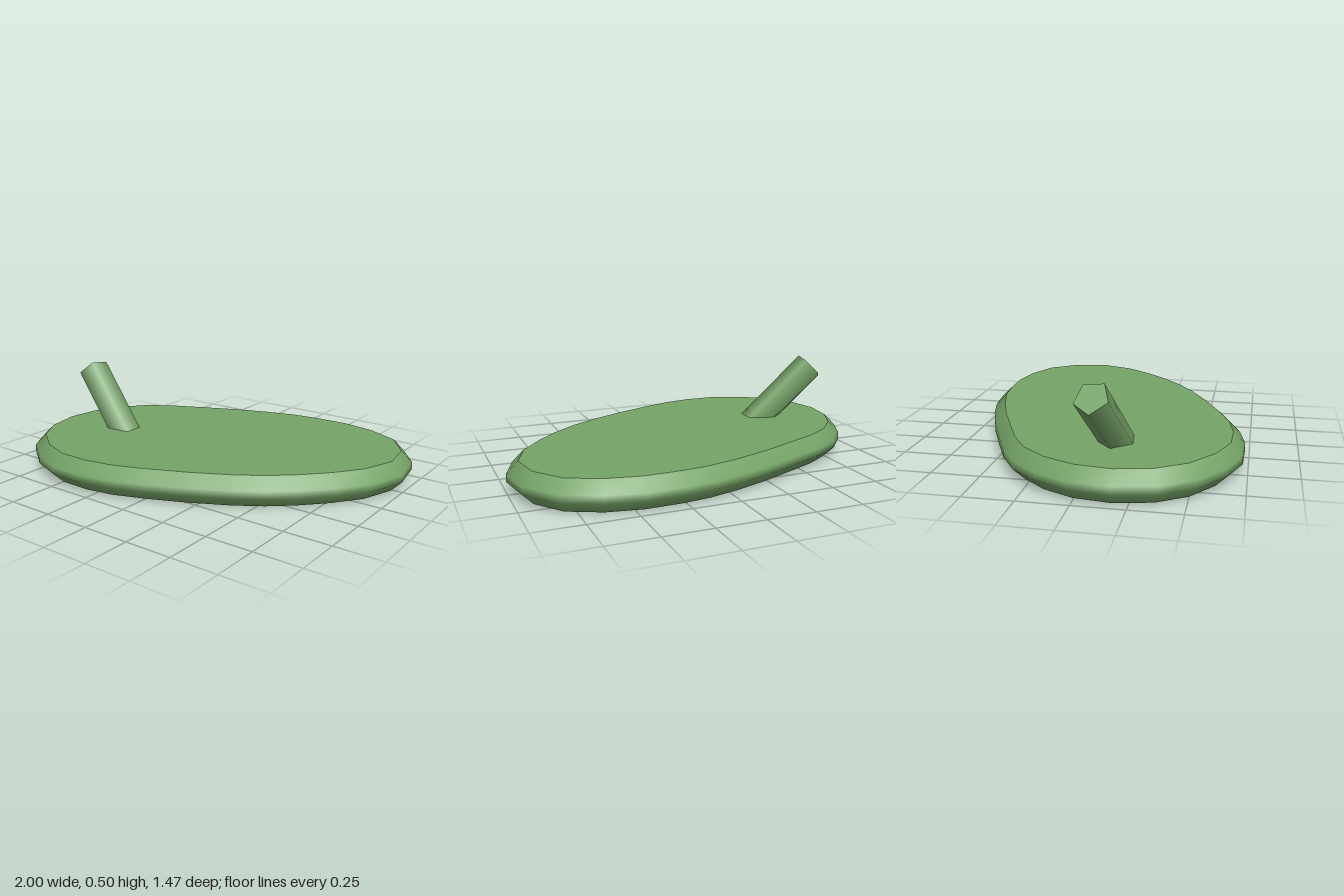
import * as THREE from 'three';

// Outline of the slab in plan, [x, z]
const OUTLINE = [
  [1, -0.23], [0.965, -0.44], [0.84, -0.61], [0.655, -0.7], [0.46, -0.735], [0.265, -0.73], [0.11, -0.71],
  [-0.07, -0.66], [-0.26, -0.59], [-0.45, -0.505], [-0.635, -0.42], [-0.78, -0.325], [-0.895, -0.19], [-0.975, -0.02],
  [-1, 0.18], [-0.955, 0.38], [-0.85, 0.54], [-0.685, 0.66], [-0.51, 0.725], [-0.32, 0.73], [-0.15, 0.7],
  [0.02, 0.64], [0.23, 0.55], [0.425, 0.45], [0.565, 0.36], [0.69, 0.255], [0.815, 0.125], [0.93, -0.03],
].map(([x, z]) => new THREE.Vector2(x, z));

// Shrink the outline by moving each point along its inward normal
function inset(points, d) {
  const n = points.length;
  return points.map((p, i) => {
    const t = points[(i + 1) % n].clone().sub(points[(i + n - 1) % n]).normalize();
    return new THREE.Vector2(p.x + t.y * d, p.y - t.x * d);
  });
}

// Smooth bevelled rim lofted through [height, inset] rings
function rimGeometry(rings) {
  const n = OUTLINE.length, pos = [], index = [];
  for (const [y, d] of rings) for (const p of inset(OUTLINE, d)) pos.push(p.x, y, p.y);
  for (let r = 0; r < rings.length - 1; r++) {
    for (let i = 0; i < n; i++) {
      const a = r * n + i, b = r * n + (i + 1) % n;
      index.push(a, b, b + n, a, b + n, a + n);
    }
  }
  const g = new THREE.BufferGeometry();
  g.setAttribute('position', new THREE.Float32BufferAttribute(pos, 3));
  g.setIndex(index);
  g.computeVertexNormals();
  return g;
}

export function createModel() {
  const group = new THREE.Group();
  const green = new THREE.MeshStandardMaterial({ color: 0x76a468 });
  const add = (name, geometry, parent = group) => {
    const mesh = new THREE.Mesh(geometry, green);
    mesh.name = name;
    parent.add(mesh);
    return mesh;
  };

  // Slab: rim plus flat top and bottom
  const slab = new THREE.Group();
  slab.name = 'slab';
  group.add(slab);
  const bevel = 0.06, height = 0.16;
  add('rim', rimGeometry([[0, bevel], [bevel, 0], [height - bevel, 0], [height, bevel]]), slab);
  const face = inset(OUTLINE, bevel);
  const top = new THREE.ShapeGeometry(new THREE.Shape(face.map(p => new THREE.Vector2(p.x, -p.y))));
  add('topFace', top.rotateX(-Math.PI / 2).translate(0, height, 0), slab);
  const bottom = new THREE.ShapeGeometry(new THREE.Shape(face));
  add('bottomFace', bottom.rotateX(Math.PI / 2), slab);

  // Slanted five-sided stalk, its foot sunk into the slab
  const length = 0.53;
  const stalk = add('stalk', new THREE.CylinderGeometry(0.087, 0.087, length, 5).translate(0, -length / 2, 0));
  const axis = new THREE.Vector3(-0.689, 0.706, -0.164).normalize();
  const ridge = new THREE.Vector3(-axis.y, axis.x, 0).normalize();
  const side = new THREE.Vector3().crossVectors(axis, ridge);
  stalk.quaternion.setFromRotationMatrix(new THREE.Matrix4().makeBasis(side, axis, ridge));
  stalk.position.set(-0.845, 0.445, 0.067);
  return group;
}
